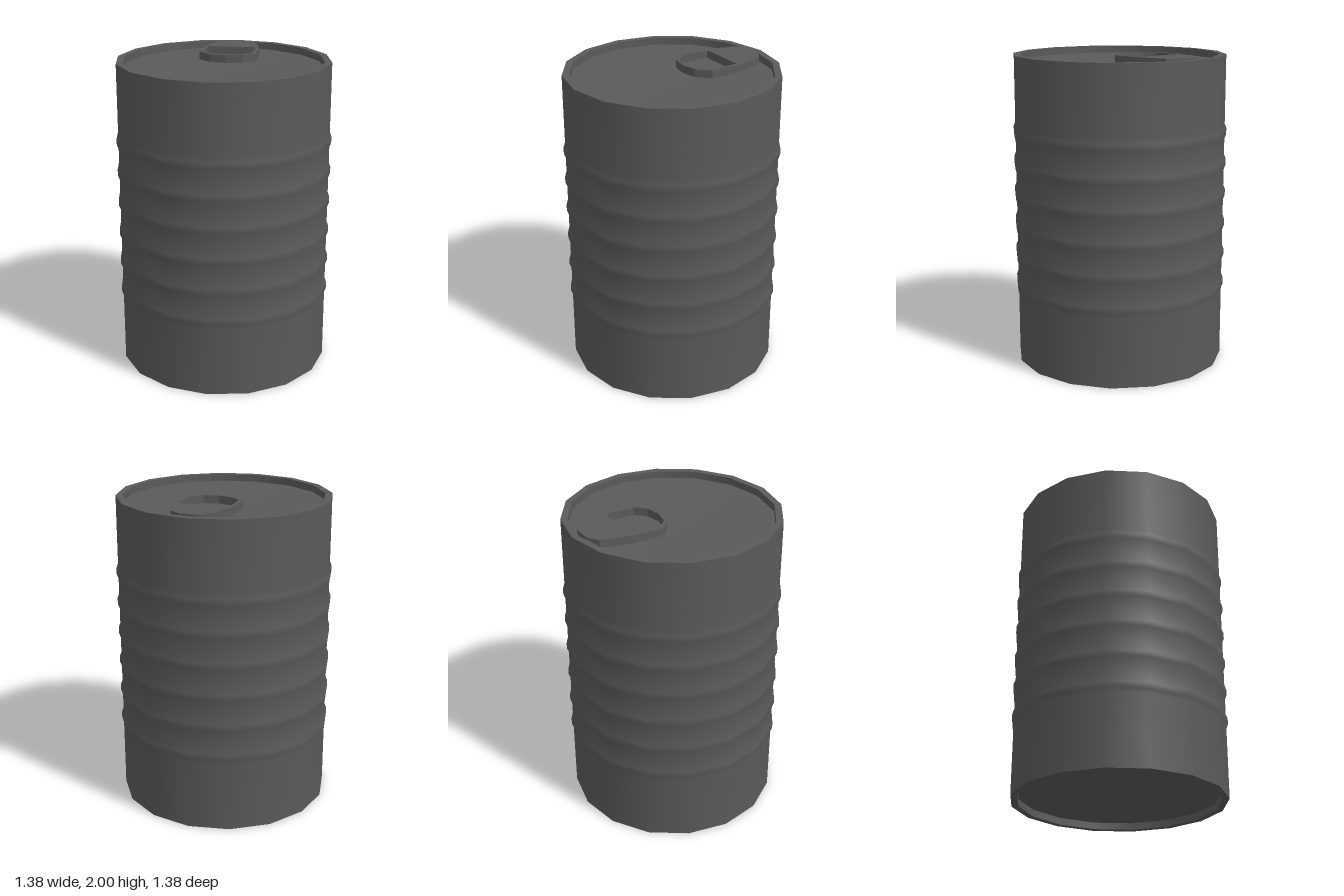
import * as THREE from 'three';

const SIDES = 16;
const BODY_R = 0.677, RIB_R = 0.688, RIM_R = 0.633;
const TOP = 1.99, RECESS = 0.045;

export function createModel() {
  const can = new THREE.Group();
  can.name = 'can';
  const metal = new THREE.MeshStandardMaterial({ color: 0x5a5a5a });
  metal.name = 'dark grey metal';

  const add = (name, geometry) => {
    const mesh = new THREE.Mesh(geometry, metal);
    mesh.name = name;
    can.add(mesh);
    return mesh;
  };
  // Separate lathes keep the edges between them sharp
  const turn = (name, profile) =>
    add(name, new THREE.LatheGeometry(profile.map(([r, y]) => new THREE.Vector2(r, y)), SIDES));

  // Side wall with six rounded ribs
  const wall = [[BODY_R, 0]];
  for (let i = 0; i < 6; i++) {
    const y = 0.5 + i * 0.2;
    wall.push([BODY_R, y - 0.05], [RIB_R, y - 0.02], [RIB_R, y + 0.02], [BODY_R, y + 0.05]);
  }
  wall.push([BODY_R, TOP]);
  turn('ribbedWall', wall);

  // Top rim, its inner wall and the sunken lid with a shallow dish
  const lidY = TOP - RECESS;
  turn('topRim', [[BODY_R, TOP], [RIM_R, TOP]]);
  turn('topRimInner', [[RIM_R, TOP], [RIM_R, lidY]]);
  turn('lid', [[RIM_R, lidY], [0.48, lidY], [0.43, lidY - 0.008], [0, lidY - 0.008]]);

  // Matching underside
  turn('bottomRim', [[RIM_R, 0], [BODY_R, 0]]);
  turn('bottomRimInner', [[RIM_R, RECESS], [RIM_R, 0]]);
  turn('base', [[0, RECESS + 0.008], [0.43, RECESS + 0.008], [0.48, RECESS], [RIM_R, RECESS]]);

  // Pull tab: mirrored outline with a finger hole; points are half width, distance to the back
  const mirrored = (half) => [
    ...half,
    ...half.filter(([x]) => x > 0).reverse().map(([x, y]) => [-x, y]),
  ].map(([x, y]) => new THREE.Vector2(x, y));
  const tab = new THREE.Shape(mirrored([
    [0, 0.077], [0.105, 0.098], [0.184, 0.172], [0.179, 0.37], [0.128, 0.567], [0.06, 0.615],
  ]));
  tab.holes.push(new THREE.Path(mirrored([
    [0, 0.099], [0.096, 0.119], [0.157, 0.18], [0.158, 0.37],
  ])));
  const tabGeometry = new THREE.ExtrudeGeometry(tab, { depth: 0.05, bevelEnabled: false });
  tabGeometry.rotateX(-Math.PI / 2);
  add('pullTab', tabGeometry).position.y = 1.95;

  return can;
}
